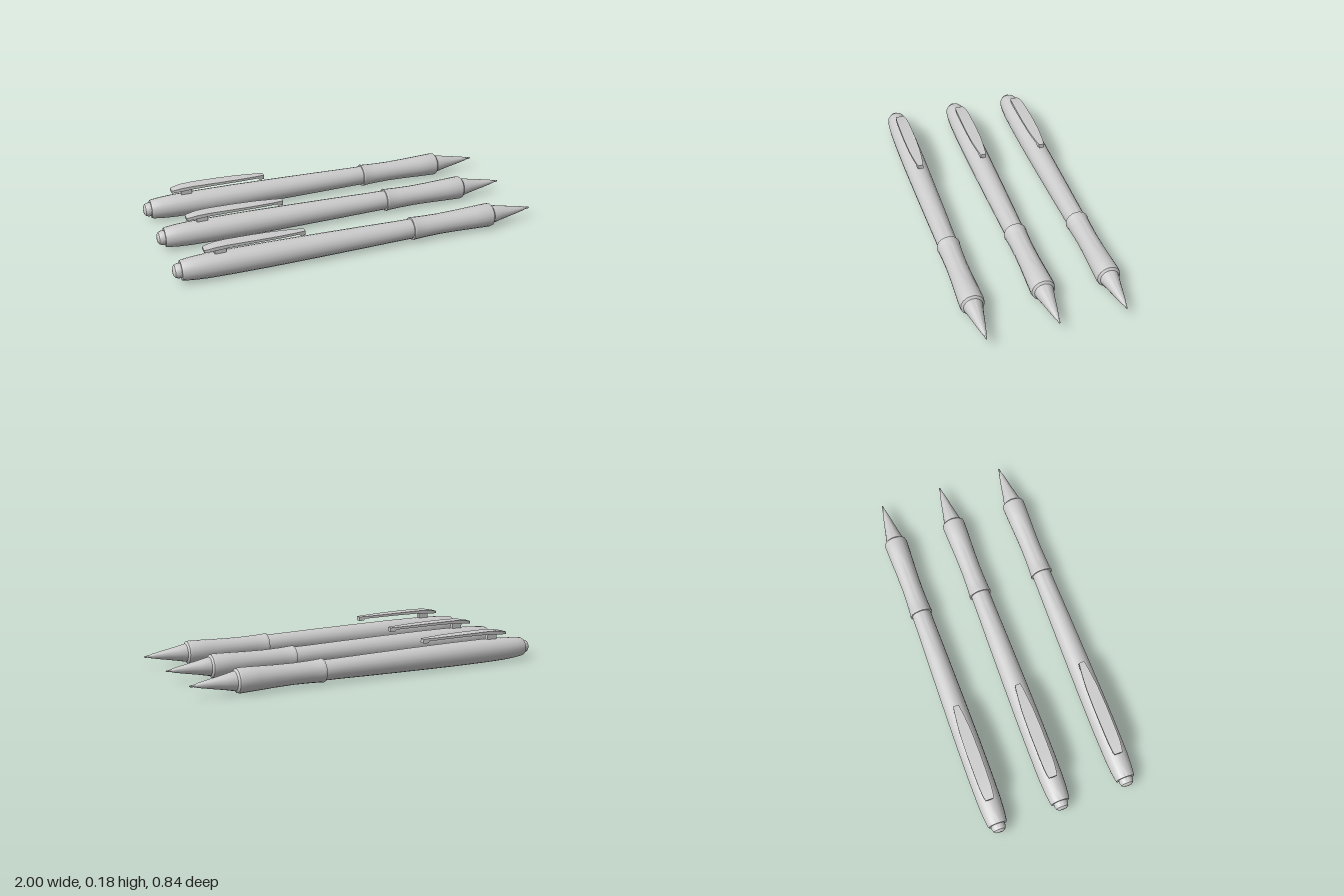
import * as THREE from 'three';
import { toCreasedNormals } from 'three/addons/utils/BufferGeometryUtils.js';

const material = new THREE.MeshStandardMaterial({ color: 0xcccccc });
const AXIS_Y = 0.067;

function mesh(name, geometry) {
  const m = new THREE.Mesh(geometry, material);
  m.name = name;
  return m;
}

// Turned part lying along x; profile is [x, radius] from back to tip
function turned(name, profile) {
  const points = profile.map(([x, r]) => new THREE.Vector2(r, x));
  const g = new THREE.LatheGeometry(points, 18).rotateZ(-Math.PI / 2).translate(0, AXIS_Y, 0);
  return mesh(name, toCreasedNormals(g, 0.6));
}

// Bar along x with rectangular sections [x, halfWidth, bottom, top]
function bar(sections) {
  const rings = sections.map(([x, w, b, t]) => [[x, b, w], [x, b, -w], [x, t, -w], [x, t, w]]);
  const pos = [];
  const quad = (a, b, c, d) => pos.push(...a, ...b, ...c, ...a, ...c, ...d);
  for (let i = 0; i < rings.length - 1; i++) {
    const p = rings[i], q = rings[i + 1];
    for (let j = 0; j < 4; j++) {
      const k = (j + 1) % 4;
      quad(p[j], p[k], q[k], q[j]);
    }
  }
  const s = rings[0], e = rings[rings.length - 1];
  quad(s[3], s[2], s[1], s[0]);
  quad(e[0], e[1], e[2], e[3]);
  const g = new THREE.BufferGeometry();
  g.setAttribute('position', new THREE.Float32BufferAttribute(pos, 3));
  return toCreasedNormals(g, 0.5);
}

function createPen() {
  const pen = new THREE.Group();
  pen.name = 'pen';

  // Rounded push button at the back
  pen.add(turned('button', [[-1, 0], [-0.998, 0.022], [-0.99, 0.033], [-0.975, 0.038], [-0.95, 0.038]]));

  // Long barrel, fullest under the clip and tapering to the grip
  pen.add(turned('barrel', [
    [-0.955, 0], [-0.96, 0.036], [-0.96, 0.05], [-0.95, 0.053], [-0.9, 0.059], [-0.83, 0.063],
    [-0.7, 0.065], [-0.5, 0.065], [-0.25, 0.062], [0, 0.058], [0.2, 0.054], [0.29, 0.053],
  ]));

  // Waisted grip with a raised collar
  pen.add(turned('grip', [
    [0.285, 0.05], [0.285, 0.062], [0.29, 0.063], [0.3, 0.06], [0.36, 0.057], [0.45, 0.055],
    [0.55, 0.057], [0.65, 0.061], [0.74, 0.064], [0.755, 0.061], [0.765, 0.048],
  ]));

  // Conical nose and small writing point
  pen.add(turned('nose', [
    [0.755, 0.05], [0.77, 0.049], [0.82, 0.038], [0.9, 0.023], [0.95, 0.013], [0.965, 0.009],
  ]));
  pen.add(turned('point', [[0.96, 0.01], [0.975, 0.006], [0.99, 0.005], [0.997, 0.003], [1, 0]]));

  // Bowed clip with a small catch at its free end
  pen.add(mesh('clip', bar([
    [-0.84, 0.022, 0.152, 0.166],
    [-0.82, 0.027, 0.154, 0.17],
    [-0.78, 0.031, 0.158, 0.177],
    [-0.72, 0.033, 0.163, 0.18],
    [-0.58, 0.034, 0.165, 0.179],
    [-0.46, 0.031, 0.164, 0.177],
    [-0.39, 0.025, 0.162, 0.175],
    [-0.345, 0.02, 0.161, 0.174],
    [-0.338, 0.019, 0.15, 0.174],
    [-0.31, 0.015, 0.15, 0.173],
  ])));

  // Post joining clip and barrel
  pen.add(mesh('clipPost', bar([
    [-0.785, 0.012, 0.12, 0.168],
    [-0.725, 0.012, 0.12, 0.168],
  ])));
  return pen;
}

export function createModel() {
  const model = new THREE.Group();
  model.name = 'pens';
  for (const z of [-0.357, -0.009, 0.357]) {
    const pen = createPen();
    pen.position.z = z;
    model.add(pen);
  }
  return model;
}
